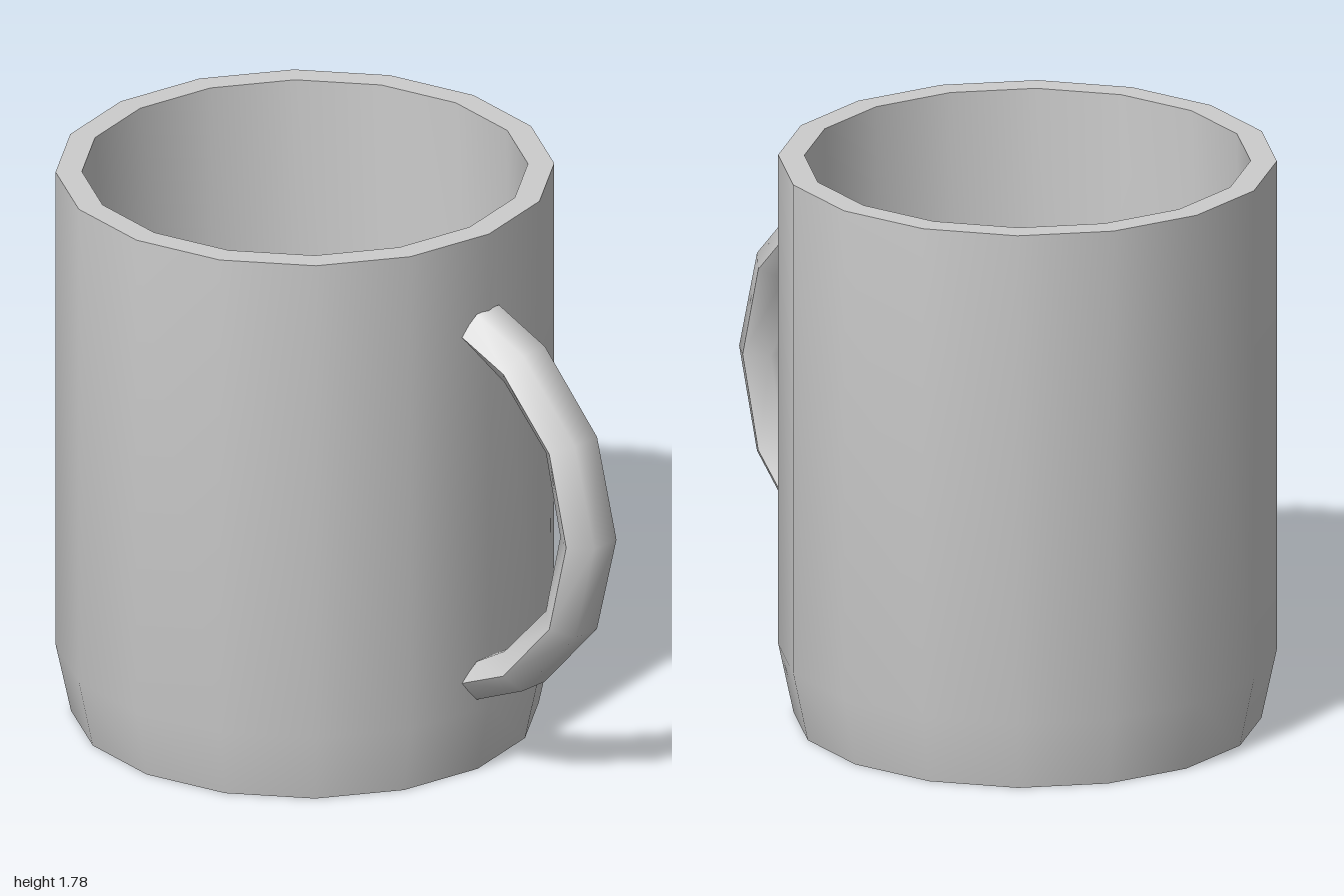
import * as THREE from 'three';
import { toCreasedNormals } from 'three/addons/utils/BufferGeometryUtils.js';

const SIDES = 16;
const MID_Y = 0.895;

// Handle: six-sided section swept around the upper half, then mirrored below
function handleGeometry() {
  // outer, middle and inner points (x, height above the middle)
  const upper = [
    [[0.515, 0.638], [0.495, 0.575], [0.515, 0.512]],
    [[0.705, 0.555], [0.67, 0.5], [0.63, 0.445]],
    [[0.92, 0.317], [0.86, 0.29], [0.80, 0.263]],
    [[1.0, 0], [0.93, 0], [0.86, 0]],
  ];
  const lower = upper.slice(0, 3).reverse().map(s => s.map(([x, y]) => [x, -y]));
  const stations = [...upper, ...lower];
  const positions = [];
  for (const [o, m, i] of stations) {
    const ring = [[o, 0.05], [m, 0.1], [i, 0.05], [i, -0.05], [m, -0.1], [o, -0.05]];
    for (const [[x, y], z] of ring) positions.push(x, MID_Y + y, z);
  }
  const index = [];
  for (let s = 0; s < stations.length - 1; s++) {
    for (let k = 0; k < 6; k++) {
      const a = s * 6 + k, b = s * 6 + (k + 1) % 6;
      index.push(a, b, b + 6, a, b + 6, a + 6);
    }
  }
  // end caps against the wall
  const last = (stations.length - 1) * 6;
  for (let k = 1; k < 5; k++) {
    index.push(0, k + 1, k);
    index.push(last, last + k, last + k + 1);
  }
  const geometry = new THREE.BufferGeometry();
  geometry.setAttribute('position', new THREE.Float32BufferAttribute(positions, 3));
  geometry.setIndex(index);
  return toCreasedNormals(geometry, 1.08);
}

export function createModel() {
  const group = new THREE.Group();
  group.name = 'mug';
  const gray = new THREE.MeshStandardMaterial({ color: 0xcccccc, side: THREE.DoubleSide });
  gray.name = 'gray';

  // Cup: recessed base, tapered foot, straight wall, flat rim and inside
  const profile = [
    [0, 0.165], [0.68, 0.165], [0.713, 0], [0.76, 0.22],
    [0.76, 1.785], [0.68, 1.785], [0.68, 0.18], [0, 0.18],
  ].map(([r, y]) => new THREE.Vector2(r, y));
  const cup = new THREE.Mesh(toCreasedNormals(new THREE.LatheGeometry(profile, SIDES), 0.6), gray);
  cup.name = 'cup';
  cup.position.x = -0.24;
  group.add(cup);

  const handle = new THREE.Mesh(handleGeometry(), gray);
  handle.name = 'handle';
  group.add(handle);

  return group;
}
